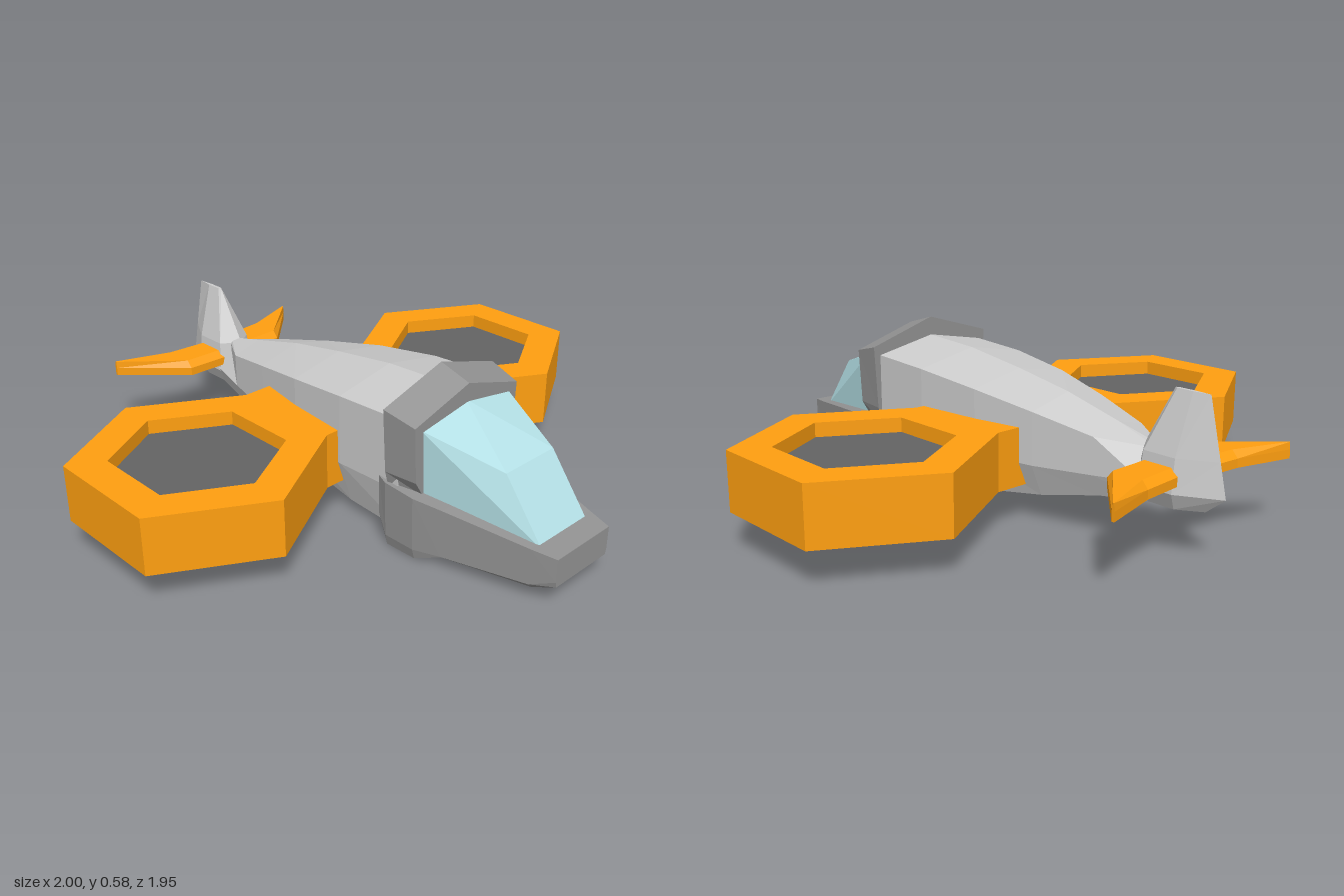
import * as THREE from 'three';
import { ConvexGeometry } from 'three/addons/geometries/ConvexGeometry.js';

const material = (color) => new THREE.MeshStandardMaterial({ color, flatShading: true });

// Skin a list of rings (counter-clockwise seen from the first ring's end) and cap both ends.
function loft(rings) {
  const n = rings[0].length;
  const index = [];
  for (let i = 0; i < rings.length - 1; i++) {
    for (let k = 0; k < n; k++) {
      const a = i * n + k, b = i * n + (k + 1) % n;
      index.push(a, a + n, b, b, a + n, b + n);
    }
  }
  const last = (rings.length - 1) * n;
  for (let k = 1; k < n - 1; k++) {
    index.push(0, k, k + 1, last, last + k + 1, last + k);
  }
  const g = new THREE.BufferGeometry();
  g.setAttribute('position', new THREE.Float32BufferAttribute(rings.flat(2), 3));
  g.setIndex(index);
  const flat = g.toNonIndexed();
  flat.computeVertexNormals();
  return flat;
}

// Symmetric section at z from half-profile pairs [x, y], top to bottom.
function section(z, half, ridge) {
  const ring = ridge === undefined ? [] : [[0, ridge, z]];
  half.forEach(([x, y]) => ring.push([-x, y, z]));
  [...half].reverse().forEach(([x, y]) => ring.push([x, y, z]));
  return ring;
}

function hexagon(r, PathType) {
  const p = new PathType();
  for (let i = 0; i < 6; i++) {
    const a = Math.PI / 2 + i * Math.PI / 3;
    p[i ? 'lineTo' : 'moveTo'](r * Math.cos(a), r * Math.sin(a));
  }
  p.closePath();
  return p;
}

export function createModel() {
  const model = new THREE.Group();
  const hull = new THREE.Group();
  hull.name = 'hull';
  hull.position.x = 0.008;
  model.add(hull);

  const grey = material(0xcccccc);
  const darkGrey = material(0x939393);
  const orange = material(0xff9f10);
  const glass = material(0xb4e0e6);
  const fanGrey = material(0x646464);

  const add = (parent, name, geometry, mat) => {
    const mesh = new THREE.Mesh(geometry, mat);
    mesh.name = name;
    parent.add(mesh);
    return mesh;
  };

  // Fuselage: z, ridge y, shoulder [x, y], waist [x, y], belly [x, y]
  const stations = [
    [0.42, 0.52, 0.235, 0.475, 0.235, 0.22, 0.19, 0.04],
    [0.15, 0.505, 0.232, 0.46, 0.232, 0.21, 0.18, 0.045],
    [-0.1, 0.47, 0.208, 0.43, 0.208, 0.21, 0.155, 0.068],
    [-0.33, 0.43, 0.165, 0.39, 0.165, 0.21, 0.12, 0.1],
    [-0.55, 0.375, 0.115, 0.345, 0.115, 0.22, 0.085, 0.147],
    [-0.72, 0.335, 0.01, 0.325, 0.075, 0.23, 0.05, 0.165],
  ];
  add(hull, 'fuselage', loft(stations.map(([z, ridge, sx, sy, wx, wy, bx, by]) =>
    section(z, [[sx, sy], [wx, wy], [bx, by]], ridge))), grey);

  // Nose tub under the cockpit
  add(hull, 'nose', loft([
    section(0.975, [[0.13, 0.18], [0.13, 0.1], [0.125, 0.08]]),
    section(0.89, [[0.152, 0.188], [0.15, 0.06], [0.13, 0.04]]),
    section(0.6, [[0.225, 0.222], [0.222, 0.05], [0.205, 0.04]]),
    section(0.5, [[0.25, 0.232], [0.245, 0.04], [0.235, 0.002]]),
    section(0.38, [[0.25, 0.24], [0.245, 0.04], [0.235, 0]]),
    section(0.34, [[0.236, 0.245], [0.234, 0.1], [0.19, 0.04]]),
  ]), darkGrey);

  // Collar behind the canopy
  add(hull, 'canopyCollar', loft([
    section(0.5, [[0.245, 0.475], [0.235, 0.28], [0.2, 0.22]], 0.55),
    section(0.38, [[0.262, 0.505], [0.25, 0.28], [0.235, 0.22]], 0.585),
  ]), darkGrey);

  // Faceted canopy
  const corners = [[0, 0.49, 0.49]];
  for (const s of [-1, 1]) {
    corners.push([s * 0.21, 0.455, 0.49], [s * 0.2, 0.2, 0.49],
      [s * 0.115, 0.375, 0.755], [s * 0.115, 0.175, 0.905]);
  }
  add(hull, 'canopy', new ConvexGeometry(corners.map((c) => new THREE.Vector3(...c))), glass);

  // Tail fin: y, front z, forward side z, rear side z, back z, half width
  const finLevels = [
    [0.525, -0.77, -0.78, -0.84, -0.9, 0.006],
    [0.33, -0.66, -0.71, -0.83, -0.945, 0.066],
    [0.22, -0.63, -0.7, -0.83, -0.97, 0.077],
    [0.165, -0.66, -0.7, -0.82, -0.9, 0.05],
  ];
  add(hull, 'tailFin', loft(finLevels.map(([y, f, s1, s2, b, w]) => [
    [0, y, f], [w, y, s1], [w, y, s2], [0, y, b], [-w, y, s2], [-w, y, s1],
  ])), grey);

  // Tailplanes with a bevelled upper edge: x, front z, back z, bevel
  const tailplane = loft([
    [0.42, -0.9, -0.91, 0.002],
    [0.215, -0.7, -0.855, 0.022],
    [0.04, -0.695, -0.84, 0.022],
  ].map(([x, f, b, e]) => [
    [x, 0.275, b], [x, 0.3, b + e], [x, 0.3, f - e],
    [x, 0.275, f], [x, 0.245, f], [x, 0.245, b],
  ]));

  // Hexagonal fan ducts
  const ductShape = hexagon(0.42, THREE.Shape);
  ductShape.holes.push(hexagon(0.285, THREE.Path));
  const duct = new THREE.ExtrudeGeometry(ductShape, { depth: 0.2, bevelEnabled: false });
  duct.rotateX(-Math.PI / 2);

  for (const side of [1, -1]) {
    const name = side > 0 ? 'left' : 'right';
    const tail = add(hull, name + 'Tailplane', tailplane, orange);
    tail.scale.x = side;

    const pod = new THREE.Group();
    pod.name = name + 'FanPod';
    pod.scale.x = side;
    add(pod, 'duct', duct, orange).position.set(0.636, 0.13, -0.07);
    add(pod, 'fanDisc', new THREE.CylinderGeometry(0.286, 0.286, 0.1, 6), fanGrey)
      .position.set(0.636, 0.23, -0.07);
    add(pod, 'podMount', new THREE.BoxGeometry(0.17, 0.2, 0.42), orange)
      .position.set(0.188, 0.23, -0.07);
    model.add(pod);
  }
  return model;
}
